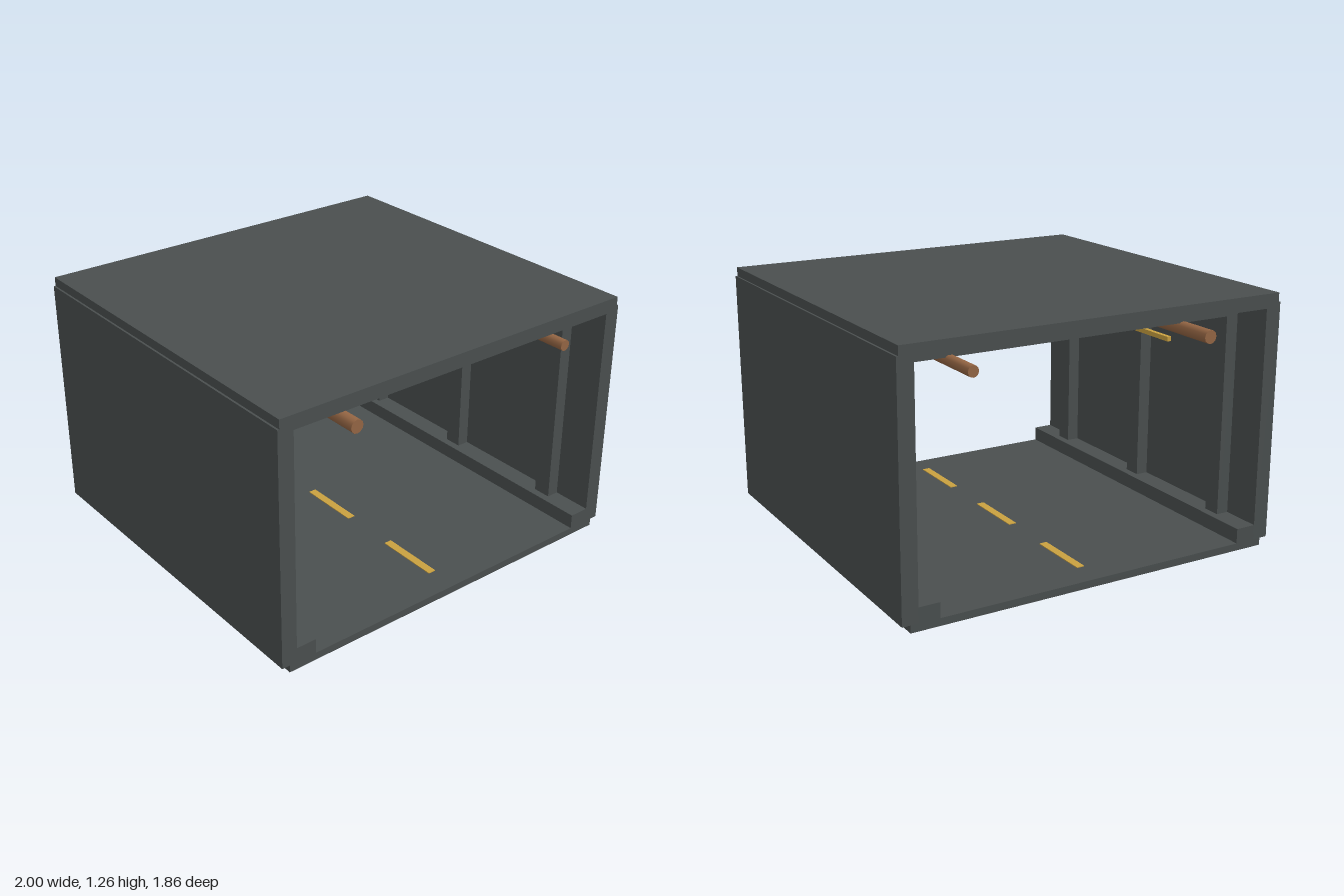
import * as THREE from 'three';

const LENGTH = 1.86;

export function createModel() {
  const model = new THREE.Group();
  model.name = 'corridorSection';

  const material = (name, color) => {
    const m = new THREE.MeshStandardMaterial({ color });
    m.name = name;
    return m;
  };
  const steel = material('darkSteel', 0x4a4f4f);
  const copper = material('copper', 0x956644);
  const yellow = material('markingYellow', 0xc9a040);

  // Box given by its extents on each axis
  const box = (name, mat, [x0, x1], [y0, y1], [z0, z1]) => {
    const mesh = new THREE.Mesh(new THREE.BoxGeometry(x1 - x0, y1 - y0, z1 - z0), mat);
    mesh.position.set((x0 + x1) / 2, (y0 + y1) / 2, (z0 + z1) / 2);
    mesh.name = name;
    model.add(mesh);
  };
  const span = (centre, size) => [centre - size / 2, centre + size / 2];
  const full = span(0, LENGTH);

  // Shell
  box('floor', steel, [-0.96, 0.96], [0, 0.037], full);
  box('roof', steel, [-0.99, 0.99], [1.195, 1.265], full);

  const ribZ = [-0.68, 0, 0.68];
  for (const [side, s] of [['left', 1], ['right', -1]]) {
    const across = (a, b) => (s > 0 ? [a, b] : [-b, -a]);
    box(side + 'Wall', steel, across(0.92, 1), [0.037, 1.22], full);
    box(side + 'Curb', steel, across(0.815, 0.925), [0.037, 0.112], full);
    // Upright wall ribs
    for (const z of ribZ) {
      box(side + 'Rib', steel, across(0.855, 0.922), [0.1, 1.175], span(z, 0.093));
    }
    // Slim light strip across the middle rib
    box(side + 'LightStrip', yellow, across(0.832, 0.856), [0.911, 0.935], span(0, 0.6));
  }

  // Ceiling beams above the ribs
  for (const z of ribZ) {
    box('ceilingBeam', steel, [-0.91, 0.91], [1.125, 1.2], span(z, 0.093));
  }

  // Dashed line along the floor
  for (const z of [-0.62, 0, 0.62]) {
    box('floorDash', yellow, [-0.02, 0.02], [0.035, 0.041], span(z, 0.33));
  }

  // Overhead pipes
  for (const [name, x, y, r] of [['largePipe', -0.593, 1.1, 0.033], ['smallPipe', 0.648, 1.11, 0.027]]) {
    const pipe = new THREE.Mesh(new THREE.CylinderGeometry(r, r, LENGTH, 12), copper);
    pipe.rotation.x = Math.PI / 2;
    pipe.position.set(x, y, 0);
    pipe.name = name;
    model.add(pipe);
  }

  return model;
}
